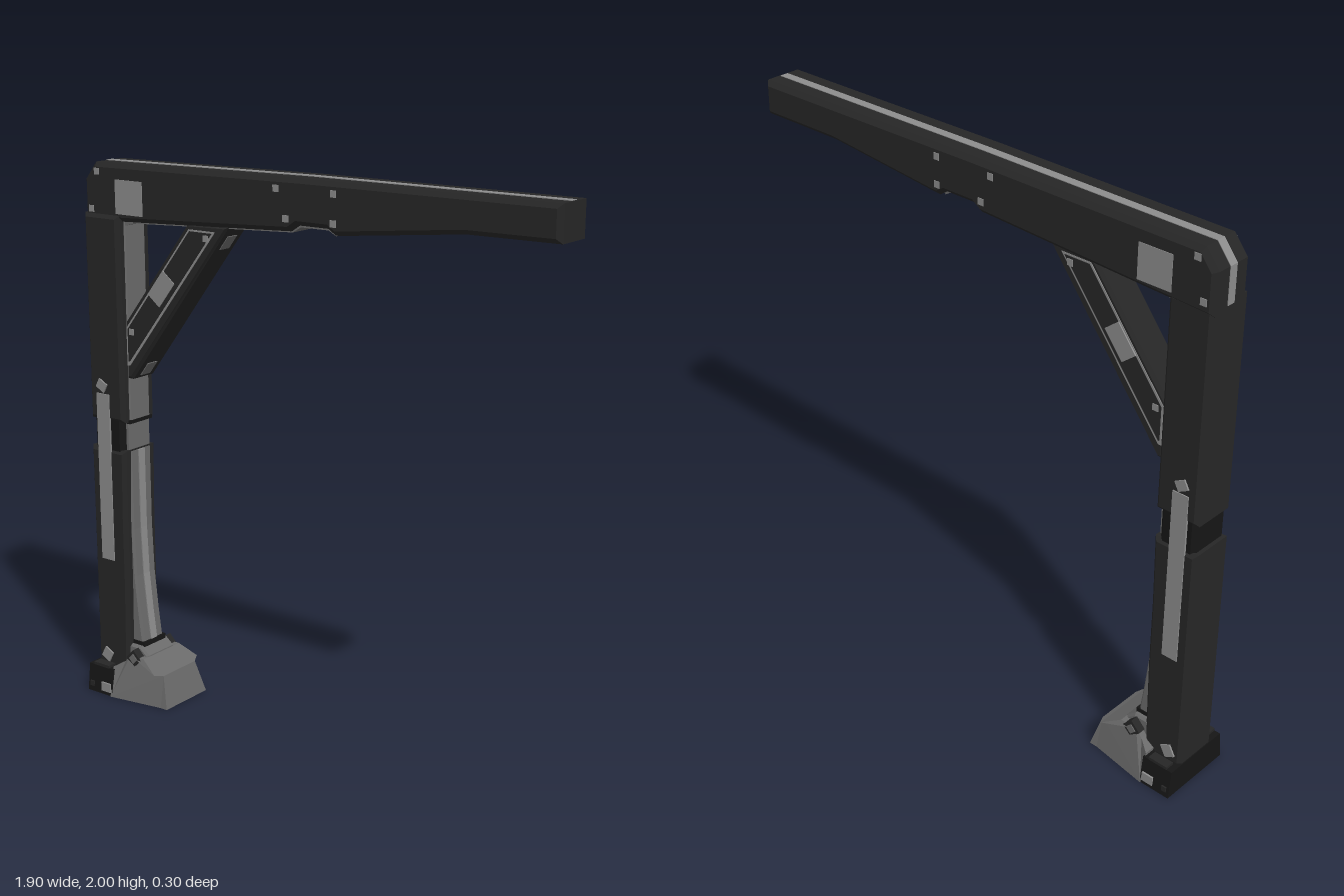
import * as THREE from 'three';

const mat = (color) => new THREE.MeshStandardMaterial({ color });

export function createModel() {
  const model = new THREE.Group();
  const dark = mat(0x262626), black = mat(0x161616), grey = mat(0x6a6a6a), light = mat(0x8c8c8c);

  const add = (name, geometry, material) => {
    const mesh = new THREE.Mesh(geometry, material);
    mesh.name = name;
    model.add(mesh);
    return mesh;
  };
  // Side outline extruded from z0 to z1, with chamfered edges inside the outline
  const slab = (name, pts, z0, z1, material, bevel = 0) => {
    const shape = new THREE.Shape(pts.map(([x, y]) => new THREE.Vector2(x, y)));
    const g = new THREE.ExtrudeGeometry(shape, {
      depth: z1 - z0 - 2 * bevel, bevelEnabled: bevel > 0, bevelThickness: bevel,
      bevelSize: bevel, bevelOffset: -bevel, bevelSegments: 1, curveSegments: 1,
    });
    g.translate(0, 0, z0 + bevel);
    return add(name, g, material);
  };
  const box = (name, w, h, d, x, y, z, material, turn = 0) => {
    const m = add(name, new THREE.BoxGeometry(w, h, d), material);
    m.position.set(x, y, z);
    m.rotation.z = turn;
    return m;
  };
  const rect = (x0, x1, y0, y1) => [[x0, y0], [x1, y0], [x1, y1], [x0, y1]];

  // Horizontal beam with its stepped underside
  const BZ0 = -0.09, BZ1 = 0.074, BM = (BZ0 + BZ1) / 2;
  slab('beam', [
    [-0.95, 1.78], [-0.62, 1.795], [-0.045, 1.823], [-0.012, 1.845], [0.105, 1.845],
    [0.135, 1.826], [0.165, 1.828], [0.62, 1.876], [0.95, 1.878], [0.95, 1.998],
    [0, 1.998], [-0.9, 1.988], [-0.95, 1.925],
  ], BZ0, BZ1, dark, 0.016);
  // Light strip running over the back corner and along the top
  slab('beamTopStrip', [
    [-0.952, 1.8], [-0.952, 1.926], [-0.901, 1.99], [0, 2], [0.945, 2], [0.945, 1.99],
    [0, 1.99], [-0.898, 1.98], [-0.942, 1.922], [-0.942, 1.8],
  ], BM - 0.016, BM + 0.016, light);
  // Grey liner under the beam
  slab('beamLiner', [
    [-0.79, 1.8], [-0.79, 1.77], [-0.74, 1.784], [-0.045, 1.818], [-0.01, 1.838],
    [0.1, 1.838], [0.13, 1.822], [0.15, 1.84], [0.1, 1.86], [-0.05, 1.86],
  ], -0.057, 0.05, grey);

  // Marker plates and bolts on both beam faces
  for (const z of [BZ0, BZ1]) {
    box('beamPlate', 0.125, 0.12, 0.004, -0.738, 1.875, z, light);
    for (const [x, y] of [[-0.885, 1.957], [-0.915, 1.825], [-0.095, 1.96],
      [0.135, 1.96], [-0.055, 1.865], [0.135, 1.865]]) {
      box('beamBolt', 0.023, 0.023, 0.005, x, y, z, light);
    }
  }

  // Post: upper and lower shells around a narrower waist
  slab('upperPost', rect(-0.948, -0.785, 1.06, 1.81), -0.085, 0.087, dark, 0.014);
  slab('postWaist', rect(-0.938, -0.8, 0.93, 1.08), -0.077, 0.079, black, 0.014);
  slab('lowerPost', [
    [-0.952, 0.02], [-0.8, 0.02], [-0.795, 0.2], [-0.79, 0.45], [-0.79, 0.7],
    [-0.785, 0.955], [-0.952, 0.955],
  ], -0.085, 0.087, dark, 0.014);

  // Inner core flaring out toward the foot, with a raised rib
  const curve = [[-0.745, 0.2], [-0.76, 0.32], [-0.775, 0.47], [-0.782, 0.65], [-0.782, 0.8], [-0.782, 0.95]];
  const core = (grow) => [[-0.83, 0.19], ...curve.map(([x, y]) => [x + grow, y]), [-0.83, 0.95]];
  slab('lowerCore', core(0), -0.055, 0.057, grey, 0.008);
  slab('lowerCoreRib', core(0.004), -0.015, 0.017, light);
  slab('coreFootBand', rect(-0.8, -0.74, 0.195, 0.215), -0.058, 0.06, black);
  slab('waistCore', rect(-0.83, -0.79, 0.95, 1.065), -0.055, 0.057, grey);
  slab('upperCore', rect(-0.83, -0.78, 1.065, 1.8), -0.055, 0.057, grey, 0.008);
  slab('upperCoreBand', rect(-0.83, -0.777, 1.055, 1.068), -0.058, 0.06, black);

  // Post strips and small tilted tabs on both faces
  for (const s of [1, -1]) {
    const z = 0.001 + s * 0.086;
    box('postStrip', 0.06, 0.635, 0.008, -0.88, 0.842, z, light);
    box('postTab', 0.042, 0.035, 0.012, -0.883, 1.19, z, light, -0.5);
    box('postTab', 0.042, 0.045, 0.012, -0.9, 0.14, z, light, -0.5);
  }

  // Diagonal brace with an outlined panel on each face
  const brace = [[-0.785, 1.225], [-0.76, 1.225], [-0.31, 1.81], [-0.485, 1.81], [-0.785, 1.43]];
  const inset = [[-0.777, 1.275], [-0.765, 1.275], [-0.362, 1.79], [-0.478, 1.79], [-0.777, 1.412]];
  const panel = [[-0.77, 1.29], [-0.765, 1.29], [-0.376, 1.784], [-0.474, 1.784], [-0.77, 1.408]];
  slab('brace', brace, -0.06, 0.062, dark, 0.01);
  slab('braceTrim', inset, -0.062, 0.064, light);
  slab('bracePanel', panel, -0.064, 0.066, dark);
  for (const z of [-0.064, 0.066]) {
    box('bracePlate', 0.115, 0.065, 0.006, -0.605, 1.57, z, light, 0.9);
    box('braceBolt', 0.022, 0.022, 0.006, -0.75, 1.4, z, light);
    box('braceBolt', 0.022, 0.022, 0.006, -0.4, 1.765, z, light);
  }
  // Pads on the underside of the brace
  for (const [x, y] of [[-0.733, 1.26], [-0.357, 1.75]]) {
    box('bracePad', 0.06, 0.006, 0.05, x, y, 0.001, grey, 0.915);
  }

  // Foot: an extruded profile that narrows upward and toward its nose
  const taper = (mesh, halfAt) => {
    const p = mesh.geometry.attributes.position;
    for (let i = 0; i < p.count; i++) {
      p.setZ(i, Math.sign(p.getZ(i)) * halfAt(p.getX(i), p.getY(i)));
    }
    mesh.geometry.computeVertexNormals();
  };
  const footHalf = (x, y) => (y > 0.13 ? 0.1 : 0.148 - 0.2 * y) - (x > -0.625 ? 0.035 : 0);
  taper(slab('foot', [
    [-0.84, 0], [-0.62, 0], [-0.59, 0], [-0.622, 0.12], [-0.64, 0.128], [-0.71, 0.168],
    [-0.775, 0.168], [-0.8, 0.14], [-0.84, 0.115],
  ], -1, 1, grey), footHalf);
  slab('footNeck', [[-0.82, 0.1], [-0.7, 0.1], [-0.71, 0.172], [-0.745, 0.2], [-0.82, 0.2]],
    -0.075, 0.075, grey, 0.008);

  // Dark heel clamp behind the foot
  taper(slab('heel', rect(-0.955, -0.835, 0, 0.105), -1, 1, black), (x, y) => 0.145 - 0.12 * y);
  for (const s of [1, -1]) {
    box('heelLug', 0.075, 0.03, 0.035, -0.895, 0.1, s * 0.115, dark);
    box('heelPlate', 0.045, 0.035, 0.008, -0.865, 0.03, s * 0.142, light);
    box('heelBolt', 0.018, 0.02, 0.008, -0.935, 0.03, s * 0.142, dark);
    box('hingeBlock', 0.05, 0.05, 0.03, -0.757, 0.16, s * 0.09, dark, Math.PI / 4);
    box('hingePin', 0.028, 0.028, 0.036, -0.757, 0.16, s * 0.09, grey, Math.PI / 4);
  }

  return model;
}
